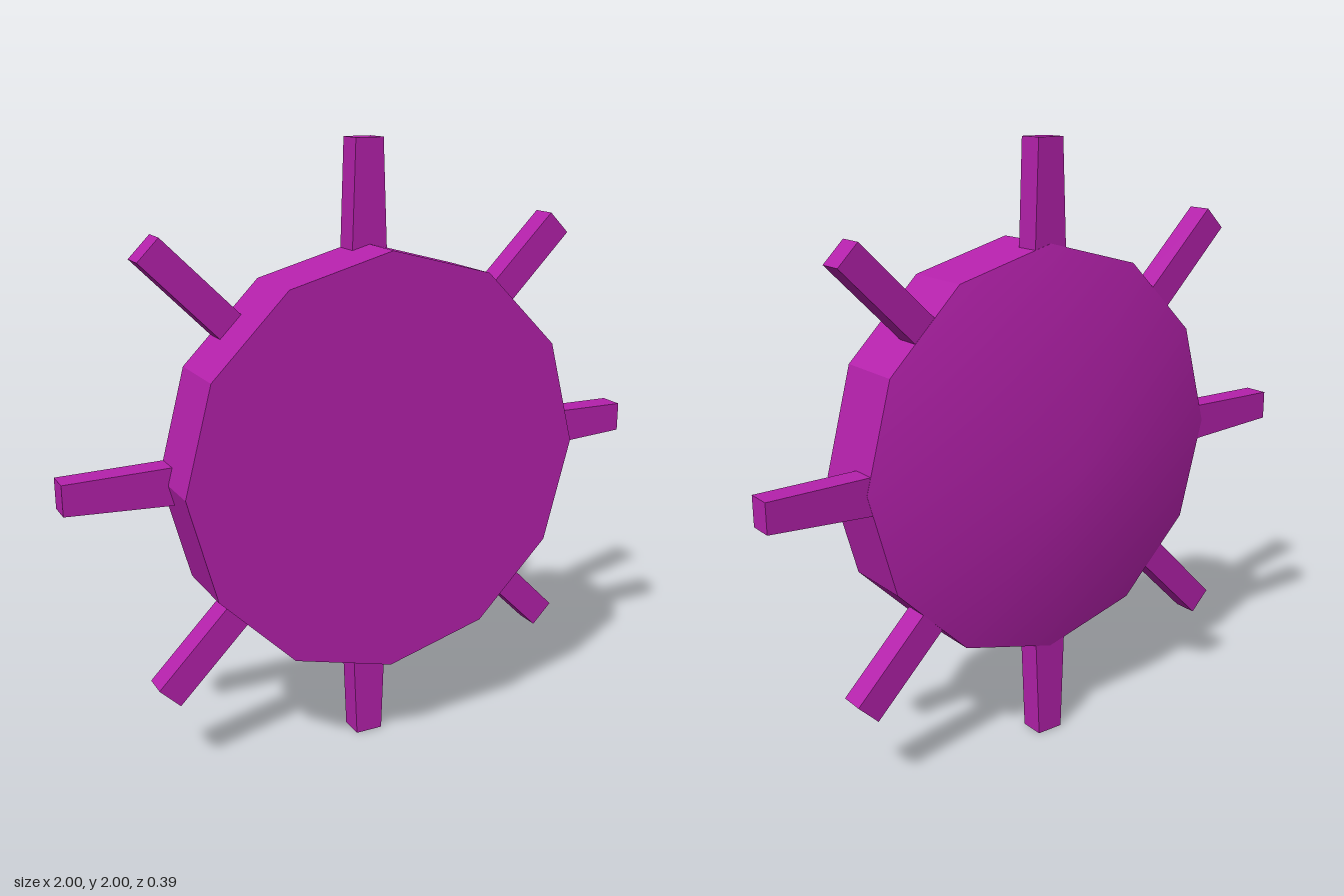
import * as THREE from 'three';
import { mergeVertices } from 'three/addons/utils/BufferGeometryUtils.js';

const CENTRE_Y = 1, RADIUS = 0.68, SIDES = 12;
const BACK_Z = -0.043, FRONT_Z = 0.197, APEX_Z = -0.195;

// Tapered bar along +x: lower and upper edges at the root and the tip
function spokeGeometry(rootLow, rootHigh, tipLow, tipHigh) {
  const root = 0.6, tip = 1;
  const shape = new THREE.Shape([
    new THREE.Vector2(root, rootLow), new THREE.Vector2(tip, tipLow),
    new THREE.Vector2(tip, tipHigh), new THREE.Vector2(root, rootHigh),
  ]);
  const depth = 0.084;
  return new THREE.ExtrudeGeometry(shape, { depth, bevelEnabled: false }).translate(0, 0, -depth / 2);
}

export function createModel() {
  const model = new THREE.Group();
  model.name = 'spokedDisc';
  const magenta = new THREE.MeshStandardMaterial({ color: 0xb421ab });
  magenta.name = 'magenta';

  const add = (name, geometry) => {
    const mesh = new THREE.Mesh(geometry, magenta);
    mesh.name = name;
    mesh.position.y = CENTRE_Y;
    model.add(mesh);
    return mesh;
  };

  // Faceted twelve-sided drum
  const drum = new THREE.CylinderGeometry(RADIUS, RADIUS, FRONT_Z - BACK_Z, SIDES)
    .rotateX(Math.PI / 2)
    .translate(0, 0, (FRONT_Z + BACK_Z) / 2)
    .toNonIndexed();
  drum.computeVertexNormals();
  add('drum', drum);

  // Shallow smooth cone on the back: a disc with its centre pulled out
  let cone = new THREE.CircleGeometry(RADIUS, SIDES);
  cone.attributes.position.setZ(0, BACK_Z - APEX_Z);
  cone.deleteAttribute('uv');
  cone.deleteAttribute('normal');
  cone = mergeVertices(cone);
  cone.rotateY(Math.PI).translate(0, 0, BACK_Z);
  cone.computeVertexNormals();
  add('backCone', cone);

  // Eight spokes: straight diagonals, tapered uprights, sides tapered mostly below
  const diagonal = spokeGeometry(-0.049, 0.049, -0.048, 0.048);
  const upright = spokeGeometry(-0.062, 0.062, -0.047, 0.047);
  const sideLeft = spokeGeometry(-0.069, 0.056, -0.047, 0.05);
  const sideRight = spokeGeometry(-0.056, 0.069, -0.05, 0.047);
  for (let i = 0; i < 8; i++) {
    const geometry = i % 2 ? diagonal : i === 0 ? sideLeft : i === 4 ? sideRight : upright;
    add('spoke' + (i + 1), geometry).rotation.z = (i * Math.PI) / 4;
  }
  return model;
}
